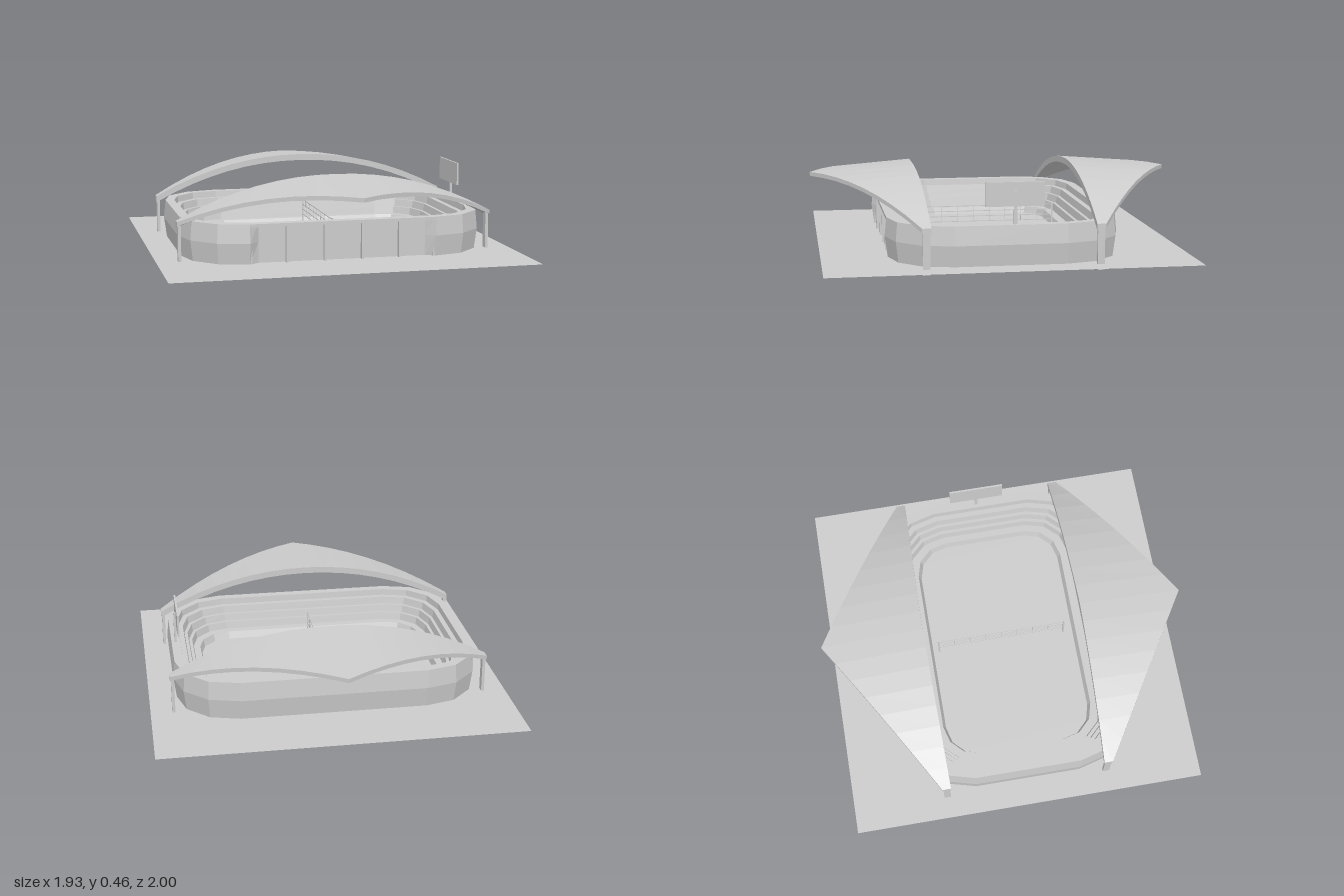
import * as THREE from 'three';

const material = new THREE.MeshStandardMaterial({ color: 0xcccccc, flatShading: true, side: THREE.DoubleSide });

function add(parent, name, geometry, x = 0, y = 0, z = 0) {
  const mesh = new THREE.Mesh(geometry, material);
  mesh.name = name;
  mesh.position.set(x, y, z);
  parent.add(mesh);
  return mesh;
}

const box = (parent, name, w, h, d, x, y, z) => add(parent, name, new THREE.BoxGeometry(w, h, d), x, y, z);

// Skin a list of equal-length cross-sections; closed joins last point to first
function loft(rings, closed, caps = false) {
  const n = rings[0].length;
  const index = [];
  for (let r = 0; r < rings.length - 1; r++) {
    for (let i = 0; i < (closed ? n : n - 1); i++) {
      const a = r * n + i, b = r * n + (i + 1) % n;
      index.push(a, a + n, b, b, a + n, b + n);
    }
  }
  if (caps) {
    const last = (rings.length - 1) * n;
    for (let i = 1; i < n - 1; i++) index.push(0, i, i + 1, last, last + i + 1, last + i);
  }
  const geometry = new THREE.BufferGeometry();
  geometry.setAttribute('position', new THREE.Float32BufferAttribute(rings.flat(2), 3));
  geometry.setIndex(index);
  const flat = geometry.toNonIndexed();
  flat.computeVertexNormals();
  return flat;
}

// Rounded rectangle plan, starting and ending at the two ends of the front side
function plan(hx, hz, cx, cz, y) {
  const points = [];
  for (const q of [1, 2, 3, 0]) {
    const sx = q === 0 || q === 3 ? 1 : -1;
    const sz = q < 2 ? 1 : -1;
    for (let i = 0; i <= 3; i++) {
      const a = (q + i / 3) * Math.PI / 2;
      points.push([sx * cx + (hx - cx) * Math.cos(a), y, sz * cz + (hz - cz) * Math.sin(a)]);
    }
  }
  return points;
}

// Curved canopy with a straight inner edge and a pointed outer edge
function canopyGeometry() {
  const rings = [];
  const segments = 16;
  for (let i = 0; i <= segments; i++) {
    const s = (i / segments) * 2 - 1, t = Math.abs(s);
    const top = 0.46 - 0.22 * Math.pow(t, 2.1);
    const outer = top - 0.045 * (1 - t);
    const zIn = 0.438 - 0.015 * t, zOut = 1 - 0.53 * t;
    const x = 0.855 * s;
    rings.push([[x, top, zIn], [x, outer, zOut], [x, outer - 0.022, zOut], [x, top - 0.035, zIn]]);
  }
  return loft(rings, true, true);
}

export function createModel() {
  const model = new THREE.Group();
  model.name = 'stadium';

  // Thin ground sheet
  const ground = new THREE.PlaneGeometry(1.93, 1.93).rotateX(-Math.PI / 2);
  add(model, 'ground', ground, 0, 0.03, 0);

  // Bowl: bulging outer wall (open at the front), rim, stepped stands and pitch
  const bowl = new THREE.Group();
  bowl.name = 'bowl';
  bowl.position.z = 0.01;
  model.add(bowl);

  const wall = [[0.815, 0.605, 0.03], [0.83, 0.62, 0.14], [0.82, 0.61, 0.24]]
    .map(([hx, hz, y]) => plan(hx, hz, 0.5, 0.29, y));
  add(bowl, 'outerWall', loft(wall, false));

  const steps = [
    [0.82, 0.61, 0.24], [0.772, 0.56, 0.24],
    [0.768, 0.556, 0.205], [0.74, 0.525, 0.205],
    [0.732, 0.518, 0.165], [0.715, 0.5, 0.165],
    [0.707, 0.492, 0.125], [0.69, 0.475, 0.125],
    [0.682, 0.467, 0.085], [0.645, 0.42, 0.085],
    [0.635, 0.405, 0.045],
  ].map(([hx, hz, y]) => {
    const k = (0.82 - hx) / 0.185;
    return plan(hx, hz, 0.5 - 0.04 * k, 0.29 - 0.06 * k, y);
  });
  add(bowl, 'stands', loft(steps, true));

  const pitchEdge = steps[steps.length - 1].map(([x, , z]) => new THREE.Vector2(x, -z));
  const pitch = new THREE.ShapeGeometry(new THREE.Shape(pitchEdge)).rotateX(-Math.PI / 2);
  add(bowl, 'pitch', pitch, 0, 0.045, 0);

  // Recessed front with slanted jambs, lintel and mullions
  const facade = wall.map((ring) => {
    const y = ring[0][1];
    return [ring[ring.length - 1], [0.45, y, 0.575], [-0.45, y, 0.575], ring[0]];
  });
  add(bowl, 'frontPanels', loft(facade, false));
  box(bowl, 'lintel', 1, 0.017, 0.04, 0, 0.231, 0.59);
  for (const x of [-0.492, -0.303, -0.101, 0.101, 0.303, 0.492]) {
    box(bowl, 'mullion', 0.01, 0.195, 0.025, x, 0.1275, 0.592);
  }

  // Canopies on four legs
  for (const side of [1, -1]) {
    const canopy = new THREE.Group();
    canopy.name = side > 0 ? 'frontCanopy' : 'backCanopy';
    canopy.rotation.y = side > 0 ? 0 : Math.PI;
    add(canopy, 'canopyRoof', canopyGeometry());
    for (const x of [-0.842, 0.842]) box(canopy, 'canopyLeg', 0.016, 0.225, 0.037, x, 0.1125, 0.447);
    model.add(canopy);
  }

  // Net across the middle of the pitch
  const net = new THREE.Group();
  net.name = 'net';
  model.add(net);
  for (const z of [-0.36, 0.36]) box(net, 'netPost', 0.008, 0.165, 0.008, 0, 0.1275, z);
  for (let i = 0; i < 4; i++) box(net, 'netRope', 0.004, 0.004, 0.72, 0, 0.115 + i * 0.029, 0);
  for (let i = 1; i < 8; i++) box(net, 'netCord', 0.003, 0.087, 0.003, 0, 0.1585, -0.36 + i * 0.09);

  // Scoreboard on the left rim
  box(model, 'scoreboard', 0.01, 0.125, 0.303, 0.786, 0.392, -0.012);
  box(model, 'scoreboardPole', 0.012, 0.175, 0.018, 0.797, 0.3225, -0.012);

  return model;
}
